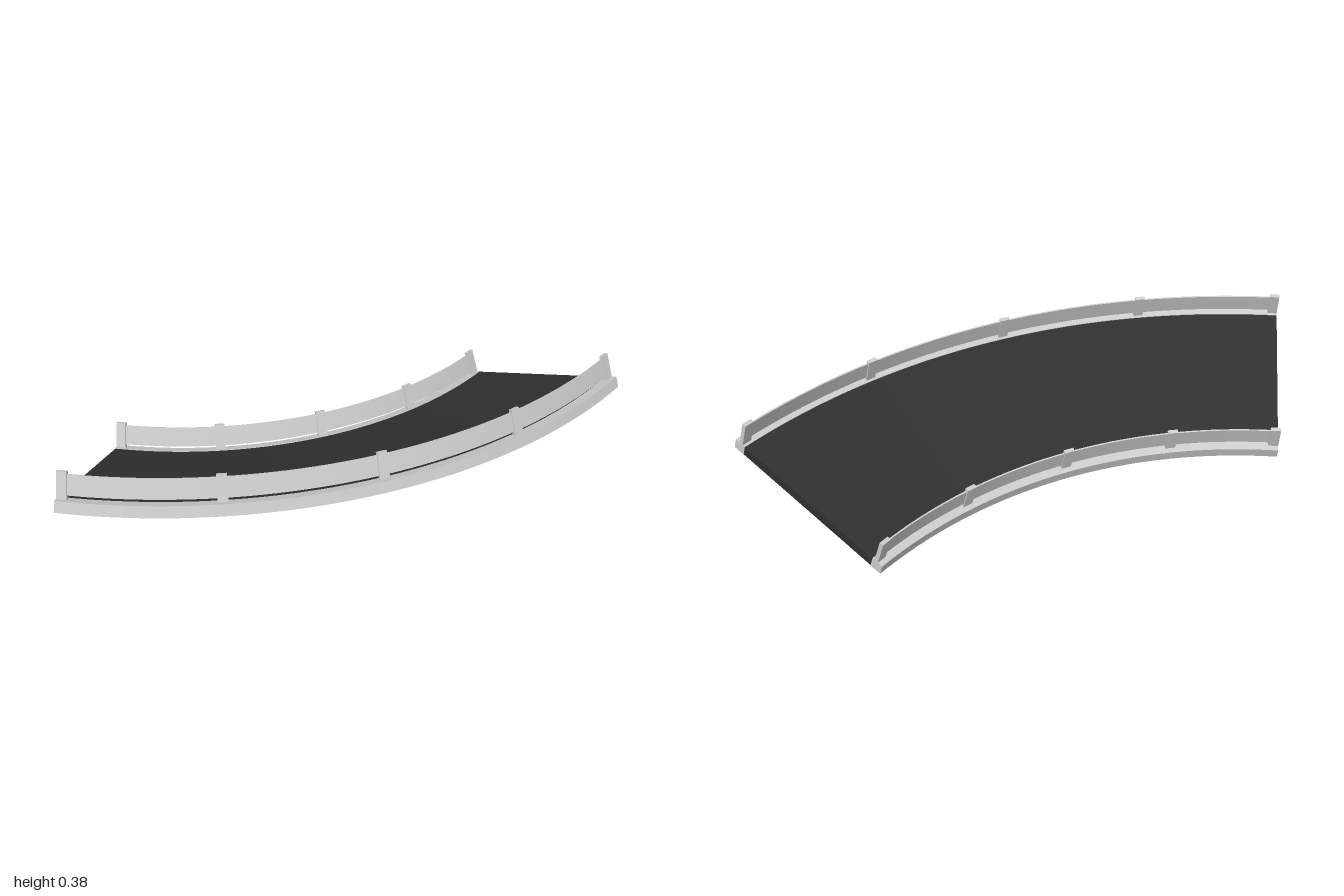
import * as THREE from 'three';

const CX = -1.56, CZ = -1;          // centre of the bend
const R0 = 1.623, BANK = Math.PI / 9; // inner radius and bank angle
const SWEEP = Math.PI / 3;
const WIDTH = 0.731, CURB_W = 0.047, CURB_H = 0.045, RAIL_INSET = 0.029;

// Point at u across the banked deck, v above it, angle a round the bend
function place(u, v, a) {
  const r = R0 + u * Math.cos(BANK) - v * Math.sin(BANK);
  const y = u * Math.sin(BANK) + v * Math.cos(BANK);
  return [CX + r * Math.cos(a), y, CZ + r * Math.sin(a)];
}

// Rectangle u0..u1 by v0..v1 swept from angle a0 to a1, with capped ends
function sweep(u0, u1, v0, v1, a0, a1, segments) {
  const profile = [[u0, v0], [u1, v0], [u1, v1], [u0, v1]];
  const pos = [], index = [];
  for (let k = 0; k < 4; k++) {
    const p = profile[k], q = profile[(k + 1) % 4];
    const base = pos.length / 3;
    for (let i = 0; i <= segments; i++) {
      const a = a0 + (a1 - a0) * i / segments;
      pos.push(...place(p[0], p[1], a), ...place(q[0], q[1], a));
      if (i < segments) {
        const n = base + i * 2;
        index.push(n, n + 1, n + 2, n + 1, n + 3, n + 2);
      }
    }
  }
  for (const [a, order] of [[a0, [0, 2, 1, 0, 3, 2]], [a1, [0, 1, 2, 0, 2, 3]]]) {
    const base = pos.length / 3;
    for (const [u, v] of profile) pos.push(...place(u, v, a));
    index.push(...order.map(i => base + i));
  }
  const g = new THREE.BufferGeometry();
  g.setAttribute('position', new THREE.Float32BufferAttribute(pos, 3));
  g.setIndex(index);
  g.computeVertexNormals();
  return g;
}

export function createModel() {
  const group = new THREE.Group();
  const grey = new THREE.MeshStandardMaterial({ color: 0xcccccc });
  const asphalt = new THREE.MeshStandardMaterial({ color: 0x303030 });
  const add = (name, geometry, material = grey) => {
    const mesh = new THREE.Mesh(geometry, material);
    mesh.name = name;
    group.add(mesh);
  };

  // Banked road deck between the curbs
  add('road', sweep(CURB_W, WIDTH - CURB_W, 0.002, 0.042, 0, SWEEP, 48), asphalt);

  for (const side of ['inner', 'outer']) {
    const inner = side === 'inner';
    // Curb along the edge
    const c0 = inner ? 0 : WIDTH - CURB_W;
    add(side + 'Curb', sweep(c0, c0 + CURB_W, 0, CURB_H, 0, SWEEP, 48));

    // Thin guard rail, raised a little above the curb
    const u = inner ? RAIL_INSET : WIDTH - RAIL_INSET;
    add(side + 'Rail', sweep(u - 0.003, u + 0.003, 0.06, 0.139, 0, SWEEP, 48));

    // Five posts, the end ones flush with the road ends
    const half = 0.02 / (R0 + u);
    for (let i = 0; i < 5; i++) {
      const a = THREE.MathUtils.clamp(SWEEP * i / 4, half, SWEEP - half);
      add(side + 'Post' + (i + 1),
        sweep(u - 0.008, u + 0.008, CURB_H - 0.002, 0.149, a - half, a + half, 1));
    }
  }
  return group;
}
